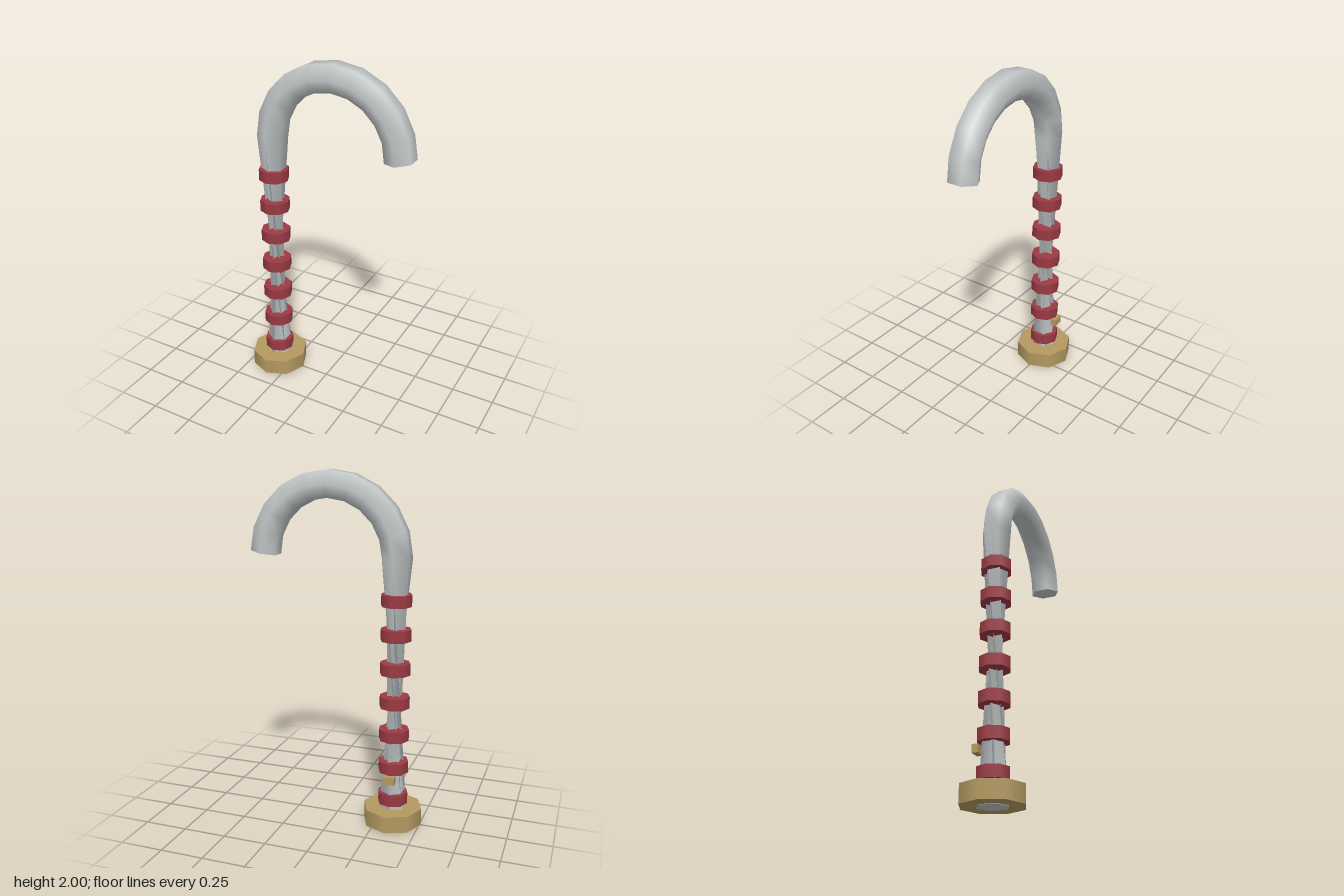
import * as THREE from 'three';

const SHAFT_X = -0.338, ARCH_Y = 1.54, ARCH_R = 0.385, TUBE_R = 0.0865, SIDES = 6;

// Six-sided ring across the cane's path; phi is the angle travelled round the hook
function ring(x, y, phi, spin = 0) {
  const points = [];
  for (let k = 0; k < SIDES; k++) {
    const a = Math.PI / 2 + (k * 2 * Math.PI) / SIDES + spin;
    const n = TUBE_R * Math.cos(a);
    points.push([x - n * Math.cos(phi), y + n * Math.sin(phi), TUBE_R * Math.sin(a)]);
  }
  return points;
}

function caneGeometry() {
  // Twisted straight shaft: the foot ring is turned a third of a turn
  const rings = [ring(SHAFT_X, 0, 0, (2 * Math.PI) / 3)];
  // Hook in ten steps; the last ring follows the direction of the last step
  const steps = 10;
  for (let i = 0; i <= steps; i++) {
    const phi = (i * Math.PI) / steps;
    const x = SHAFT_X + ARCH_R * (1 - Math.cos(phi));
    const y = ARCH_Y + ARCH_R * Math.sin(phi);
    rings.push(ring(x, y, i === steps ? phi - Math.PI / steps / 2 : phi));
  }
  const position = rings.flat(2);
  const index = [];
  for (let j = 0; j < rings.length - 1; j++) {
    for (let k = 0; k < SIDES; k++) {
      const n = (k + 1) % SIDES;
      const a0 = j * SIDES + k, b0 = j * SIDES + n;
      const a1 = a0 + SIDES, b1 = b0 + SIDES;
      index.push(a0, b0, a1, b0, b1, a1);
    }
  }
  // Flat end caps with their own corners
  const cap = (points, flip) => {
    const start = position.length / 3;
    position.push(...points.flat());
    for (let k = 1; k < SIDES - 1; k++) {
      if (flip) index.push(start, start + k + 1, start + k);
      else index.push(start, start + k, start + k + 1);
    }
  };
  cap(rings[0], true);
  cap(rings[rings.length - 1], false);

  const geometry = new THREE.BufferGeometry();
  geometry.setAttribute('position', new THREE.Float32BufferAttribute(position, 3));
  geometry.setIndex(index);
  geometry.computeVertexNormals();
  return geometry;
}

export function createModel() {
  // The twist folds narrow strips of the shaft over, so it shows both sides
  const silver = new THREE.MeshStandardMaterial({ color: 0xc0c5c5, side: THREE.DoubleSide });
  silver.name = 'silver';
  const red = new THREE.MeshStandardMaterial({ color: 0x9c3a43 });
  red.name = 'red';
  const brass = new THREE.MeshStandardMaterial({ color: 0xb49a61 });
  brass.name = 'brass';

  const group = new THREE.Group();
  group.name = 'cane';
  const add = (name, geometry, material, x, y, z) => {
    const mesh = new THREE.Mesh(geometry, material);
    mesh.name = name;
    mesh.position.set(x, y, z);
    group.add(mesh);
  };

  // Shaft and hook
  add('shaftAndHook', caneGeometry(), silver, 0, 0, 0);

  // Octagonal foot
  add('foot', new THREE.CylinderGeometry(0.171, 0.171, 0.098, 8), brass, SHAFT_X, 0.051, 0);

  // Bands up the shaft
  const band = new THREE.CylinderGeometry(0.087, 0.087, 0.066, 8);
  for (let i = 0; i < 7; i++) {
    add('band' + (i + 1), band, red, SHAFT_X, 0.157 + i * 0.1925, 0);
  }

  // Small block behind the shaft
  add('catch', new THREE.BoxGeometry(0.065, 0.045, 0.034), brass, SHAFT_X, 0.291, -0.087);

  return group;
}
